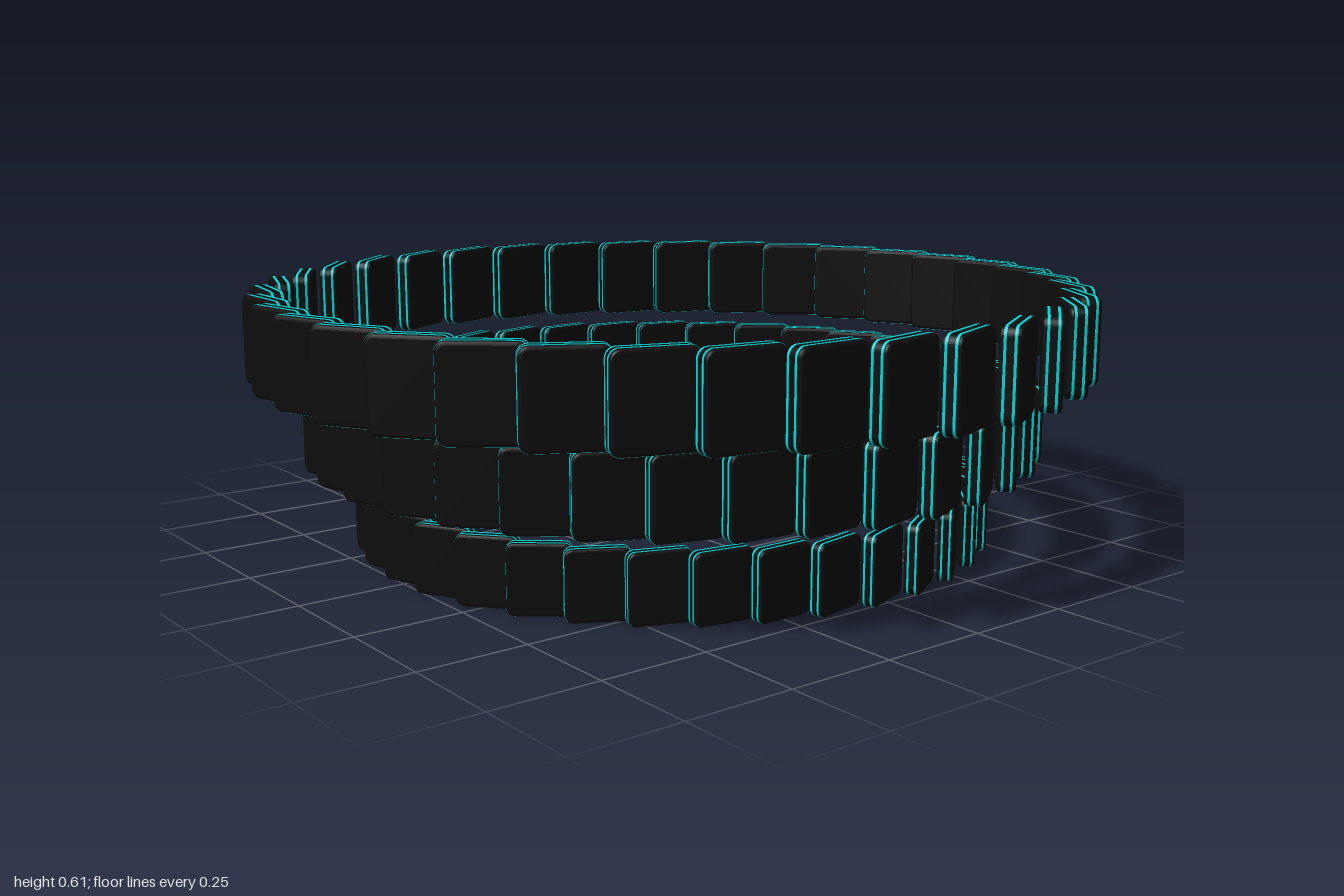
import * as THREE from 'three';

const black = new THREE.MeshStandardMaterial({ color: 0x0d0d0d });
black.name = 'black';
const cyan = new THREE.MeshStandardMaterial({ color: 0x00d8dc });
cyan.name = 'cyan';

const W = 0.18, H = 0.205, T = 0.048, BEVEL = 0.008;

// Rounded rectangle centred on the origin
function roundedRect(w, h, r) {
  const x = w / 2, y = h / 2;
  const s = new THREE.Shape();
  s.moveTo(-x + r, -y);
  s.lineTo(x - r, -y);
  s.absarc(x - r, -y + r, r, -Math.PI / 2, 0);
  s.lineTo(x, y - r);
  s.absarc(x - r, y - r, r, 0, Math.PI / 2);
  s.lineTo(-x + r, y);
  s.absarc(-x + r, y - r, r, Math.PI / 2, Math.PI);
  s.lineTo(-x, -y + r);
  s.absarc(-x + r, -y + r, r, Math.PI, Math.PI * 1.5);
  return s;
}

// Bevelled plate body
function plateGeometry() {
  const g = new THREE.ExtrudeGeometry(roundedRect(W - 2 * BEVEL, H - 2 * BEVEL, 0.014), {
    depth: T - 2 * BEVEL, bevelEnabled: true, bevelThickness: BEVEL, bevelSize: BEVEL,
    bevelSegments: 3, curveSegments: 4,
  });
  g.translate(0, 0, -T / 2 + BEVEL);
  return g;
}

// Thin trim line that runs around the plate's edge
function trimGeometry(z) {
  const d = 0.006;
  const g = new THREE.ExtrudeGeometry(roundedRect(W + 0.002, H + 0.002, 0.023), {
    depth: d, bevelEnabled: false, curveSegments: 4,
  });
  g.translate(0, 0, z - d / 2);
  return g;
}

export function createModel() {
  const model = new THREE.Group();
  model.name = 'tieredPlateRings';
  const body = plateGeometry();
  const trims = [trimGeometry(-0.011), trimGeometry(0.011)];
  const radius = 0.95, count = 36, tilt = 20;

  // Three rings, each a scaled and turned copy of the same circle of plates
  const rings = [
    { name: 'lowerRing', scale: 0.765, y: 0.081, turn: 0 },
    { name: 'middleRing', scale: 0.88, y: 0.3, turn: 6.1 },
    { name: 'upperRing', scale: 1, y: 0.512, turn: 0 },
  ];
  for (const { name, scale, y, turn } of rings) {
    const ring = new THREE.Group();
    ring.name = name;
    ring.position.y = y;
    ring.scale.setScalar(scale);
    for (let i = 0; i < count; i++) {
      const deg = turn + (i * 360) / count;
      const a = THREE.MathUtils.degToRad(deg);
      const plate = new THREE.Group();
      plate.name = 'plate';
      plate.position.set(radius * Math.sin(a), 0, -radius * Math.cos(a));
      plate.rotation.y = THREE.MathUtils.degToRad(tilt - deg);
      const panel = new THREE.Mesh(body, black);
      panel.name = 'panel';
      plate.add(panel);
      for (const g of trims) {
        const trim = new THREE.Mesh(g, cyan);
        trim.name = 'edgeTrim';
        plate.add(trim);
      }
      ring.add(plate);
    }
    model.add(ring);
  }
  return model;
}
